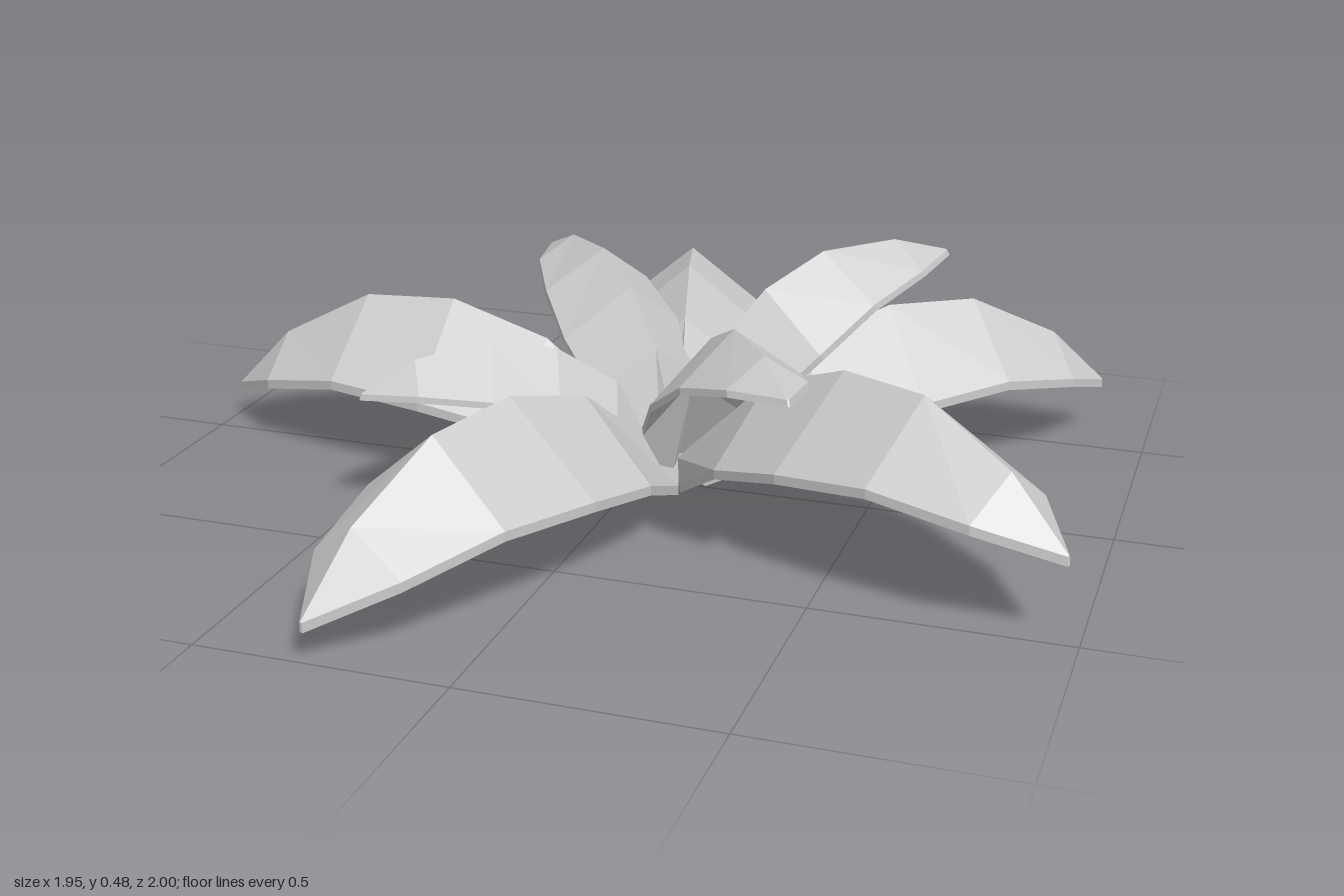
import * as THREE from 'three';

// Leaf cross-sections: [ridge x, ridge y, edge x, edge y, half width]
const SECTIONS = [
  [0.0, 0.06, 0.05, 0.02, 0.04],
  [0.3, 0.285, 0.31, 0.14, 0.175],
  [0.52, 0.347, 0.51, 0.178, 0.2],
  [0.73, 0.332, 0.73, 0.188, 0.176],
  [0.94, 0.22, 0.93, 0.142, 0.112],
  [1.07, 0.085, 1.07, 0.083, 0.003],
];
const THICKNESS = 0.02;
const TIP = new THREE.Vector2(1.07, 0.08);

// Thin keeled leaf lying along +x, lofted through chevron-shaped loops of six points
function leafGeometry() {
  const positions = [];
  const index = [];
  for (const [rx, ry, ex, ey, w] of SECTIONS) {
    positions.push(
      ex, ey, -w, rx, ry, 0, ex, ey, w,
      ex, ey - THICKNESS, w, rx, ry - THICKNESS, 0, ex, ey - THICKNESS, -w
    );
  }
  const last = SECTIONS.length - 1;
  for (let i = 0; i < last; i++) {
    for (let j = 0; j < 6; j++) {
      const a = i * 6 + j;
      const b = i * 6 + ((j + 1) % 6);
      index.push(a, b, b + 6, a, b + 6, a + 6);
    }
  }
  // End caps, fanned from the underside of the ridge
  for (const [p, q] of [[5, 0], [0, 1], [1, 2], [2, 3]]) {
    index.push(4, q, p);
    index.push(last * 6 + 4, last * 6 + p, last * 6 + q);
  }
  const geometry = new THREE.BufferGeometry();
  geometry.setAttribute('position', new THREE.Float32BufferAttribute(positions, 3));
  geometry.setIndex(index);
  geometry.computeVertexNormals();
  return geometry;
}

export function createModel() {
  const plant = new THREE.Group();
  plant.name = 'leafRosette';
  const geometry = leafGeometry();
  const material = new THREE.MeshStandardMaterial({ color: 0xcccccc, flatShading: true });
  const centre = new THREE.Vector3(0.09, 0, 0);

  // Scale, pitch and turn a leaf so that its tip reaches the given point
  function addLeaf(name, x, y, z) {
    const dx = x - centre.x;
    const dz = z - centre.z;
    const reach = Math.hypot(dx, dz);
    const leaf = new THREE.Mesh(geometry, material);
    leaf.name = name;
    leaf.position.copy(centre);
    leaf.scale.setScalar(Math.hypot(reach, y) / TIP.length());
    leaf.rotation.set(0, Math.atan2(-dz, dx), Math.atan2(y, reach) - TIP.angle());
    plant.add(leaf);
  }

  // Large spreading outer leaves
  [
    [-0.98, 0.08, -0.07],
    [-0.18, 0.07, -1.0],
    [0.89, 0.12, -0.61],
    [0.97, 0.17, 0.5],
    [-0.28, 0.075, 1.0],
  ].forEach((tip, i) => addLeaf(`outerLeaf${i + 1}`, ...tip));

  // Small upright inner leaves
  [
    [-0.37, 0.36, -0.47],
    [0.56, 0.44, -0.43],
    [0.46, 0.41, 0.52],
    [-0.45, 0.27, 0.39],
  ].forEach((tip, i) => addLeaf(`innerLeaf${i + 1}`, ...tip));

  return plant;
}
